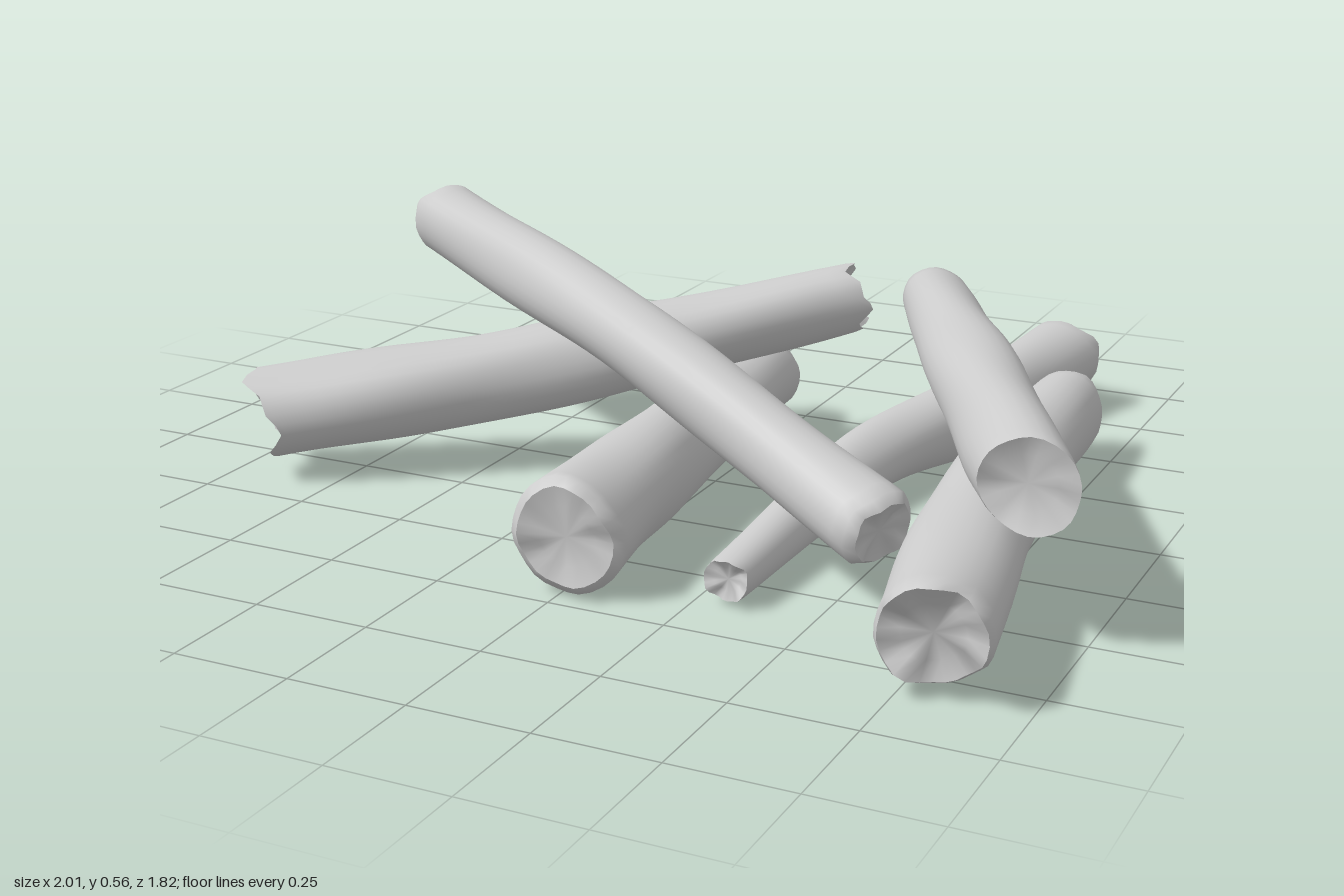
import * as THREE from 'three';

const SIDES = 28, RINGS = 30, UP = new THREE.Vector3(0, 1, 0);

// stations: [x, y, z, radius] along the log; cuts: the two ends
// cut = { n: plane normal (default: square cut), jag: splinter height, dent: hollow depth, rim: rim scale }
function logGeometry(stations, cuts, seed) {
  const curve = new THREE.CatmullRomCurve3(stations.map(s => new THREE.Vector3(s[0], s[1], s[2])), false, 'catmullrom');
  const radii = new THREE.CatmullRomCurve3(stations.map(s => new THREE.Vector3(s[3], 0, 0)), false, 'catmullrom');
  const length = curve.getLength();
  const positions = [], index = [];
  const push = v => positions.push(v.x, v.y, v.z) / 3 - 1;

  // extra rings close to the ends round the rims
  const us = [0, 0.012];
  for (let i = 1; i < RINGS; i++) us.push(i / RINGS);
  us.push(0.988, 1);

  const rings = us.map(u => {
    const c = curve.getPoint(u), t = curve.getTangent(u);
    const side = new THREE.Vector3().crossVectors(t, UP).normalize();
    const up = new THREE.Vector3().crossVectors(side, t);
    const { n, jag = 0.006, rim = 0.92 } = cuts[u < 0.5 ? 0 : 1];
    const normal = n ? new THREE.Vector3(...n) : t;
    const fade = Math.max(0, 1 - Math.min(u, 1 - u) * length / 0.2);
    const scale = u === 0 || u === 1 ? rim : 1;
    return Array.from({ length: SIDES }, (_, j) => {
      const a = j / SIDES * Math.PI * 2;
      const wobble = 1 + 0.035 * Math.sin(2 * a + 5 * u + seed) + 0.025 * Math.sin(3 * a - 11 * u + 2 * seed)
        + 0.02 * Math.sin(17 * u + seed * 3);
      const off = side.clone().multiplyScalar(Math.cos(a)).addScaledVector(up, Math.sin(a))
        .multiplyScalar(radii.getPoint(u).x * wobble * scale);
      const slant = -off.dot(normal) / t.dot(normal);
      const splinter = jag * (Math.sin(3 * a + seed) + 0.6 * Math.sin(7 * a + 2 * seed));
      return c.clone().add(off).addScaledVector(t, fade * (slant + splinter));
    });
  });

  // bark
  rings.forEach(ring => ring.forEach(push));
  for (let i = 0; i < rings.length - 1; i++) {
    for (let j = 0; j < SIDES; j++) {
      const k = (j + 1) % SIDES, a = i * SIDES, b = a + SIDES;
      index.push(a + j, b + j, a + k, b + j, b + k, a + k);
    }
  }

  // hollowed end faces with their own vertices, so that the rim stays crisp
  [0, 1].forEach(e => {
    const ring = rings[e ? rings.length - 1 : 0];
    const inward = curve.getTangent(e).multiplyScalar((e ? -1 : 1) * (cuts[e].dent ?? 0.012));
    const centre = curve.getPoint(e).add(inward);
    const outer = ring.map(push);
    const inner = ring.map(v => push(v.clone().lerp(centre, 0.4).addScaledVector(inward, 0.4)));
    const mid = push(centre);
    const face = (a, b, c) => (e ? index.push(a, c, b) : index.push(a, b, c));
    for (let j = 0; j < SIDES; j++) {
      const k = (j + 1) % SIDES;
      face(inner[j], outer[j], outer[k]);
      face(inner[j], outer[k], inner[k]);
      face(mid, inner[j], inner[k]);
    }
  });

  const geometry = new THREE.BufferGeometry();
  geometry.setAttribute('position', new THREE.Float32BufferAttribute(positions, 3));
  geometry.setIndex(index);
  geometry.computeVertexNormals();
  return geometry;
}

export function createModel() {
  const group = new THREE.Group();
  group.name = 'logPile';
  const wood = new THREE.MeshStandardMaterial({ color: 0xcccccc });
  const addLog = (name, startCut, endCut, ...stations) => {
    const seed = 1 + group.children.length * 1.7;
    const mesh = new THREE.Mesh(logGeometry(stations, [startCut, endCut], seed), wood);
    mesh.name = name;
    group.add(mesh);
  };

  // three logs lying on the ground, back to front
  addLog('lowerMiddleLog', {}, { rim: 0.85 },
    [-0.08, 0.14, -0.43, 0.093], [-0.03, 0.135, 0.15, 0.105], [0.022, 0.137, 0.72, 0.115]);
  addLog('thinCrookedLog', { jag: 0.01 }, { rim: 0.97 },
    [0.515, 0.125, -0.89, 0.094], [0.44, 0.105, -0.46, 0.088], [0.34, 0.1, -0.02, 0.068], [0.318, 0.065, 0.62, 0.046]);
  addLog('lowerRightLog', { jag: 0.008 }, { n: [0.1, -0.25, 1], jag: 0.012, dent: 0.025 },
    [0.635, 0.115, -0.52, 0.09], [0.69, 0.135, 0.15, 0.105], [0.825, 0.145, 0.865, 0.112]);

  // log resting on the two at the right
  addLog('upperRightLog', { rim: 0.82 }, { n: [0, 0, 1], jag: 0.004, rim: 0.98, dent: 0.02 },
    [0.262, 0.295, -0.66, 0.08], [0.575, 0.33, -0.04, 0.09], [0.9, 0.337, 0.58, 0.093]);

  // crossed pair at the left
  addLog('lowerLeftLog', { n: [-1, -0.35, 0.75], jag: 0.016, dent: 0.05, rim: 1 }, { jag: 0.014, dent: 0.03, rim: 0.97 },
    [-0.925, 0.15, 0.37, 0.106], [-0.38, 0.24, 0.025, 0.094], [0.19, 0.373, -0.345, 0.078]);
  addLog('upperLeftLog', { rim: 0.86 }, { rim: 0.8 },
    [-0.795, 0.5, -0.165, 0.08], [-0.1, 0.37, 0.175, 0.085], [0.59, 0.165, 0.495, 0.083]);
  return group;
}
